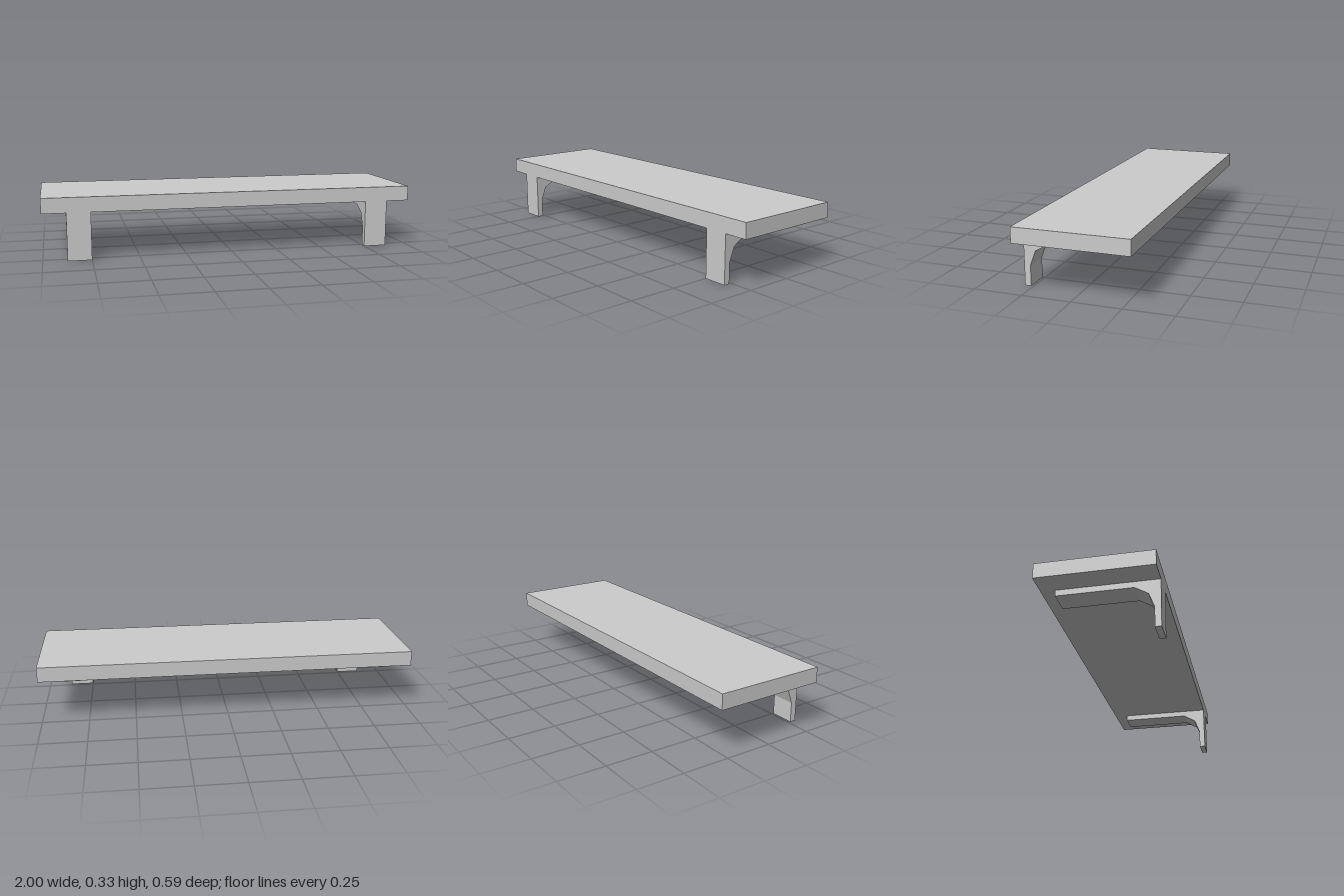
import * as THREE from 'three';

const WIDTH = 2, DEPTH = 0.588, TOP = 0.331, UNDERSIDE = 0.251;
const BRACKET_WIDTH = 0.125, BRACKET_X = 0.8125;

// Bracket side profile as [z, y]: upright at the front, faceted bend, arm to the back
const BRACKET_PROFILE = [
  [0.294, 0], [0.294, UNDERSIDE], [-0.22, UNDERSIDE], [-0.22, 0.219],
  [0.167, 0.219], [0.234, 0.179], [0.262, 0.105], [0.262, 0],
];

export function createModel() {
  const group = new THREE.Group();
  group.name = 'shelf';
  const material = new THREE.MeshStandardMaterial({ color: 0xcccccc, flatShading: true });

  // Board
  const board = new THREE.Mesh(new THREE.BoxGeometry(WIDTH, TOP - UNDERSIDE, DEPTH), material);
  board.name = 'board';
  board.position.y = (TOP + UNDERSIDE) / 2;
  group.add(board);

  // Brackets: the profile is extruded, then turned so its thickness runs along x
  const shape = new THREE.Shape(BRACKET_PROFILE.map(([z, y]) => new THREE.Vector2(-z, y)));
  const bracketGeometry = new THREE.ExtrudeGeometry(shape, { depth: BRACKET_WIDTH, bevelEnabled: false })
    .translate(0, 0, -BRACKET_WIDTH / 2)
    .rotateY(Math.PI / 2);
  for (const [name, side] of [['leftBracket', 1], ['rightBracket', -1]]) {
    const bracket = new THREE.Mesh(bracketGeometry, material);
    bracket.name = name;
    bracket.position.x = side * BRACKET_X;
    group.add(bracket);
  }

  return group;
}
